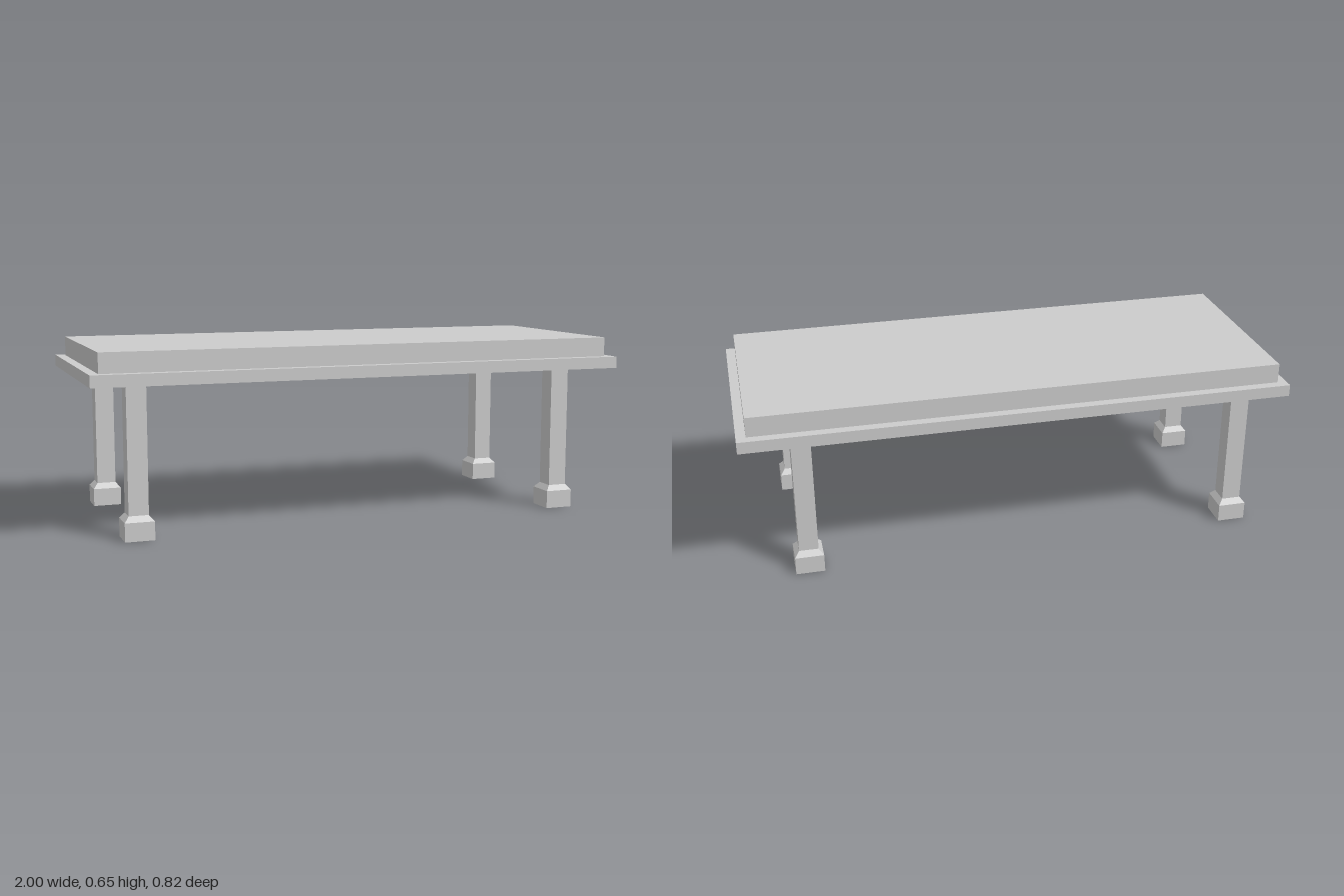
import * as THREE from 'three';

export function createModel() {
  const model = new THREE.Group();
  model.name = 'table';
  const material = new THREE.MeshStandardMaterial({ color: 0xcccccc, flatShading: true });
  const legMaterial = material.clone();
  legMaterial.side = THREE.DoubleSide;

  // Box resting on height y0
  const slab = (name, width, depth, y0, y1) => {
    const mesh = new THREE.Mesh(new THREE.BoxGeometry(width, y1 - y0, depth), material);
    mesh.name = name;
    mesh.position.y = (y0 + y1) / 2;
    model.add(mesh);
  };
  slab('tableRim', 2, 0.822, 0.534, 0.577);
  slab('tableTop', 1.932, 0.752, 0.577, 0.649);

  // Square hollow leg, open at the bottom, flaring into a foot: [half width, height]
  const profile = [[0.052, 0], [0.052, 0.066], [0.035, 0.086], [0.035, 0.534]]
    .map(([half, y]) => new THREE.Vector2(half * Math.SQRT2, y));
  const legGeometry = new THREE.LatheGeometry(profile, 4).rotateY(Math.PI / 4);

  // The legs sit slightly off centre, towards -x and +z
  for (const [side, x] of [['Left', 0.784], ['Right', -0.838]]) {
    for (const [end, z] of [['front', 0.325], ['back', -0.309]]) {
      const leg = new THREE.Mesh(legGeometry, legMaterial);
      leg.name = `${end}${side}Leg`;
      leg.position.set(x, 0, z);
      model.add(leg);
    }
  }
  return model;
}
